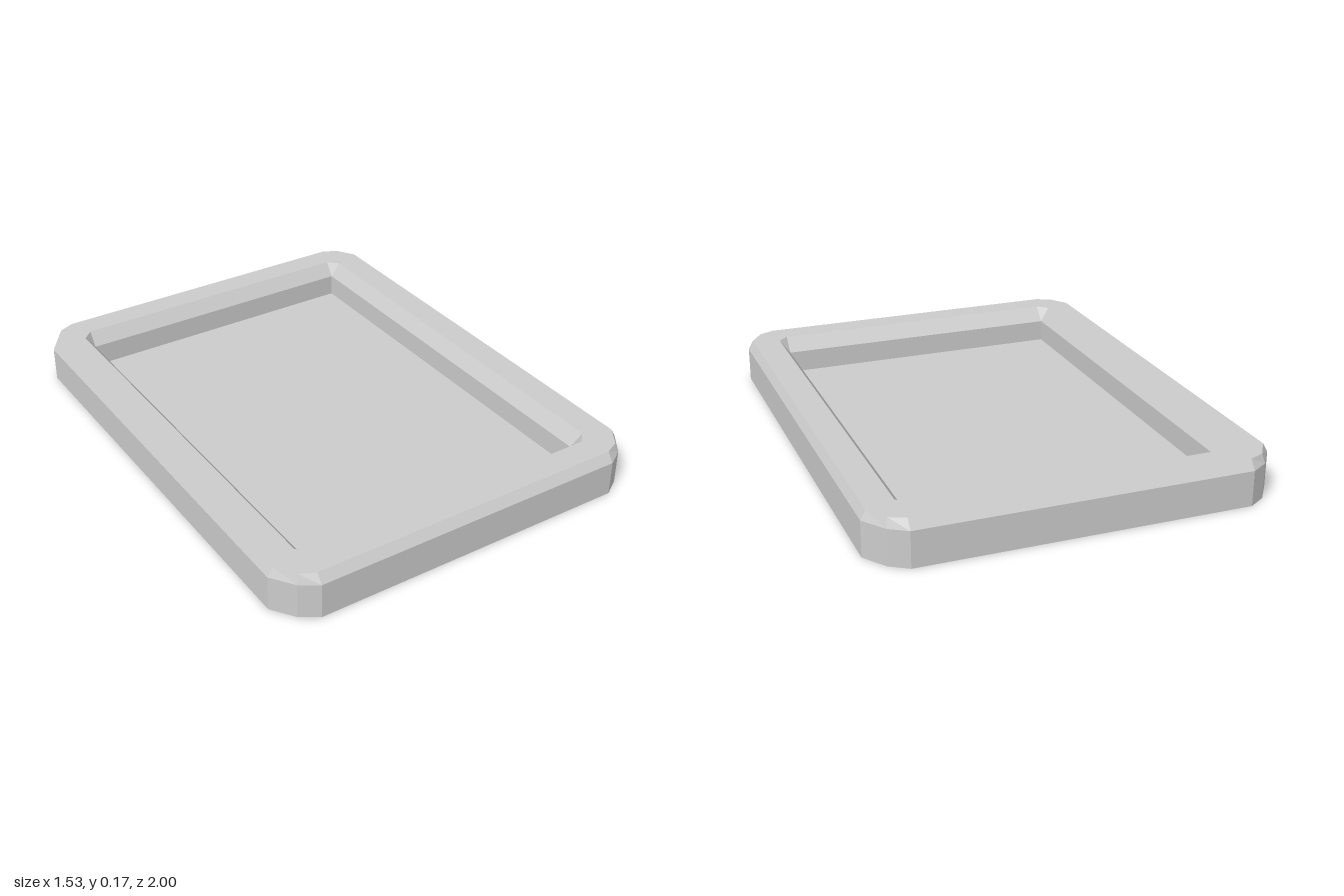
import * as THREE from 'three';

const material = new THREE.MeshStandardMaterial({ color: 0xcccccc, flatShading: true });

// Closed 12-point loop at height y, mirrored from one corner's three [x, z] points
// (ordered from the side towards the front); zBack replaces the depth at the back if given.
function loop(y, corner, zBack) {
  const rev = [...corner].reverse();
  const quarter = (pts, sx, sz) => pts.map(([x, z]) =>
    new THREE.Vector3(sx * x, y, sz * (sz < 0 && zBack !== undefined ? zBack : z)));
  return [...quarter(corner, 1, 1), ...quarter(rev, -1, 1),
    ...quarter(corner, -1, -1), ...quarter(rev, 1, -1)];
}

// Skin a run of loops, leaving out collapsed triangles
function skin(name, loops) {
  const pos = [];
  const tri = (a, b, c) => {
    if (a.equals(b) || b.equals(c) || c.equals(a)) return;
    for (const p of [a, b, c]) pos.push(p.x, p.y, p.z);
  };
  for (let k = 0; k + 1 < loops.length; k++) {
    const lo = loops[k], hi = loops[k + 1];
    for (let i = 0; i < lo.length; i++) {
      const j = (i + 1) % lo.length;
      tri(lo[i], hi[i], hi[j]);
      tri(lo[i], hi[j], lo[j]);
    }
  }
  const geometry = new THREE.BufferGeometry();
  geometry.setAttribute('position', new THREE.Float32BufferAttribute(pos, 3));
  geometry.computeVertexNormals();
  const mesh = new THREE.Mesh(geometry, material);
  mesh.name = name;
  return mesh;
}

const same = (x, z) => [[x, z], [x, z], [x, z]];

export function createModel() {
  const outline = [[0.765, 0.87], [0.703, 0.957], [0.635, 1]];
  const base = loop(0, outline);
  const wallTop = loop(0.137, outline);
  const rimOuter = loop(0.172, [[0.745, 0.87], [0.695, 0.945], [0.635, 0.972]]);
  const rimInner = loop(0.172, [[0.635, 0.83], [0.615, 0.85], [0.595, 0.87]]);
  const wellTop = loop(0.117, same(0.595, 0.815), 0.83);
  const wellFloor = loop(0.028, same(0.595, 0.815), 0.83);

  const tray = new THREE.Group();
  tray.name = 'tray';
  tray.add(
    skin('underside', [loop(0, same(0, 0)), base]),
    skin('outerWall', [base, wallTop]),
    skin('outerBevel', [wallTop, rimOuter]),
    skin('rim', [rimOuter, rimInner]),
    skin('innerBevel', [rimInner, wellTop]),
    skin('innerWall', [wellTop, wellFloor]),
    skin('floor', [wellFloor, loop(0.028, same(0, 0))]),
  );
  return tray;
}
